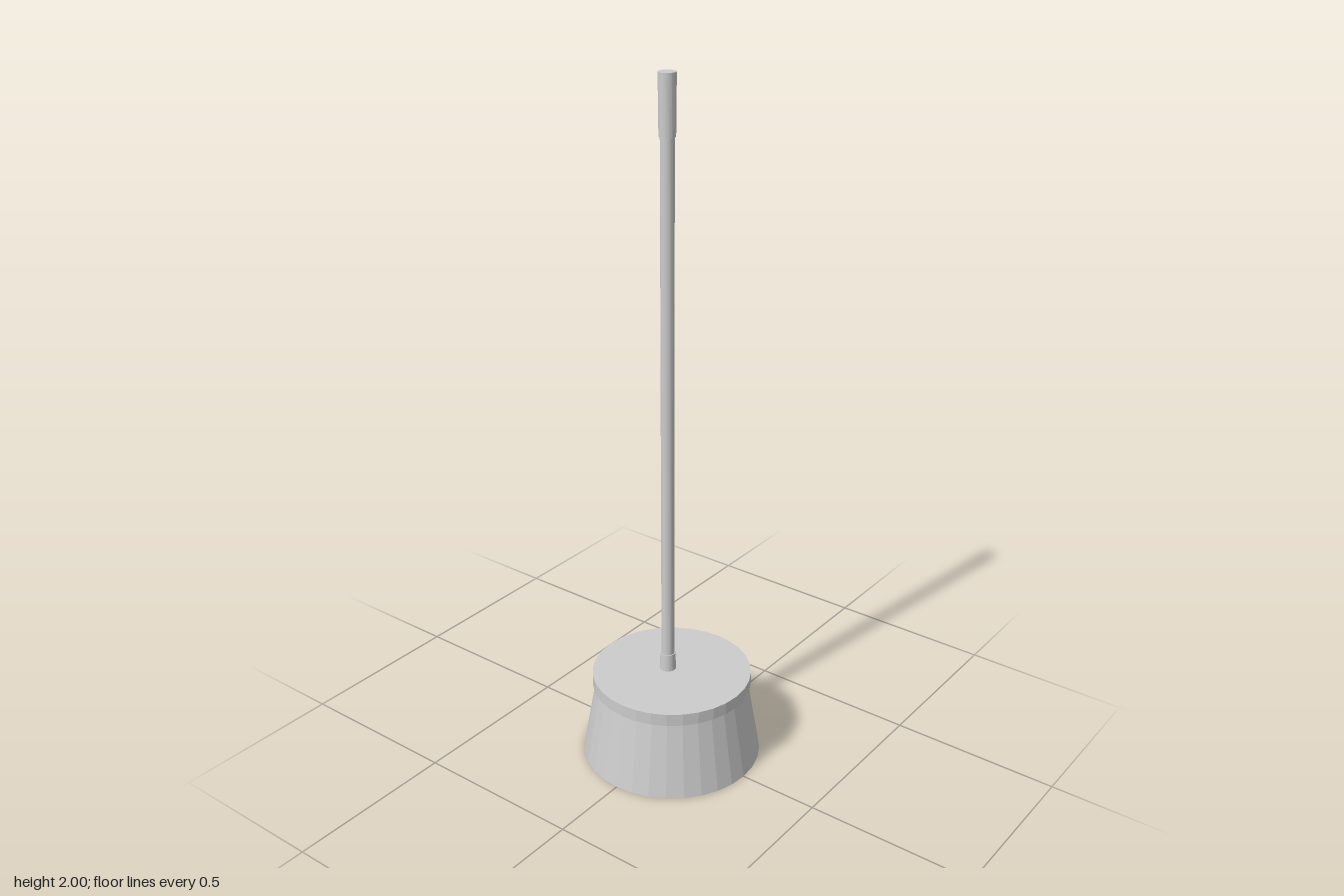
import * as THREE from 'three';

const material = new THREE.MeshStandardMaterial({ color: 0xcccccc, flatShading: true });
const SIDES = 32;

// Upright round part between two heights, optionally tapered
function roundPart(name, rBottom, rTop, y0, y1) {
  const geometry = new THREE.CylinderGeometry(rTop, rBottom, y1 - y0, SIDES);
  const mesh = new THREE.Mesh(geometry, material);
  mesh.name = name;
  mesh.position.y = (y0 + y1) / 2;
  return mesh;
}

export function createModel() {
  const model = new THREE.Group();
  model.name = 'weightedBaseWithRod';

  // Tapered base with an overhanging lid
  const base = new THREE.Group();
  base.name = 'base';
  base.add(
    roundPart('baseBody', 0.263, 0.224, 0, 0.228),
    roundPart('baseLid', 0.233, 0.233, 0.228, 0.265)
  );

  // Slim rod, set slightly off centre, with a collar and a grip
  const handle = new THREE.Group();
  handle.name = 'handle';
  handle.position.set(-0.016, 0, -0.002);
  handle.add(
    roundPart('collar', 0.024, 0.022, 0.265, 0.318),
    roundPart('rod', 0.019, 0.019, 0.265, 1.85),
    roundPart('grip', 0.0225, 0.024, 1.838, 2)
  );

  model.add(base, handle);
  return model;
}
